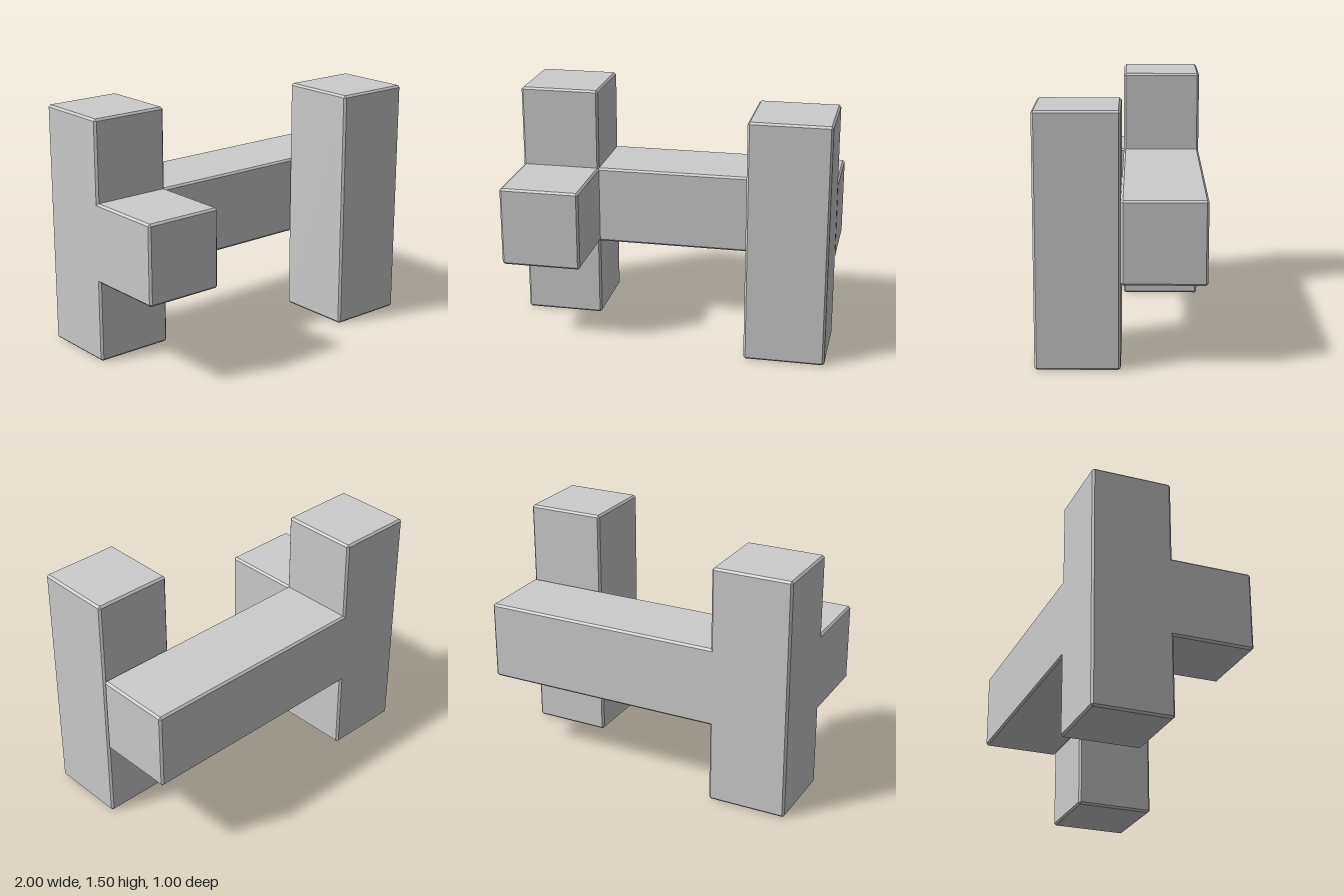
import * as THREE from 'three';
import { ConvexGeometry } from 'three/addons/geometries/ConvexGeometry.js';

const CHAMFER = 0.0125;

// Box between two corners with every edge chamfered
function chamferBox(min, max) {
  const points = [];
  for (let i = 0; i < 8; i++) {
    const side = [i & 1, (i >> 1) & 1, (i >> 2) & 1];
    for (let outer = 0; outer < 3; outer++) {
      const p = side.map((s, axis) => {
        const inset = axis === outer ? 0 : CHAMFER;
        return s ? max[axis] - inset : min[axis] + inset;
      });
      points.push(new THREE.Vector3(...p));
    }
  }
  return new ConvexGeometry(points);
}

export function createModel() {
  const group = new THREE.Group();
  const material = new THREE.MeshStandardMaterial({ color: 0xcccccc, flatShading: true });

  const add = (name, min, max) => {
    const mesh = new THREE.Mesh(chamferBox(min, max), material);
    mesh.name = name;
    group.add(mesh);
  };

  const W = 0.4925; // bar thickness
  const H = 1.4975; // column height
  const low = 0.5025, high = low + W; // beam height range
  const back = -0.4975, mid = back + W; // rear depth range

  // Upright bar at the rear right end
  add('rearColumn', [-1, 0, back], [-1 + W, H, mid]);
  // Horizontal bar, its hidden end sunk into the rear column
  add('crossBeam', [-1 + W - 0.06, low, back], [1, high, mid]);
  // Short forward bar growing out of the rear column
  add('frontStub', [-1, low, mid - 0.06], [-1 + W, high, 0.4975]);
  // Upright bar set against the front of the beam
  add('frontColumn', [1 - W, 0, mid], [1, H, mid + W]);

  return group;
}
